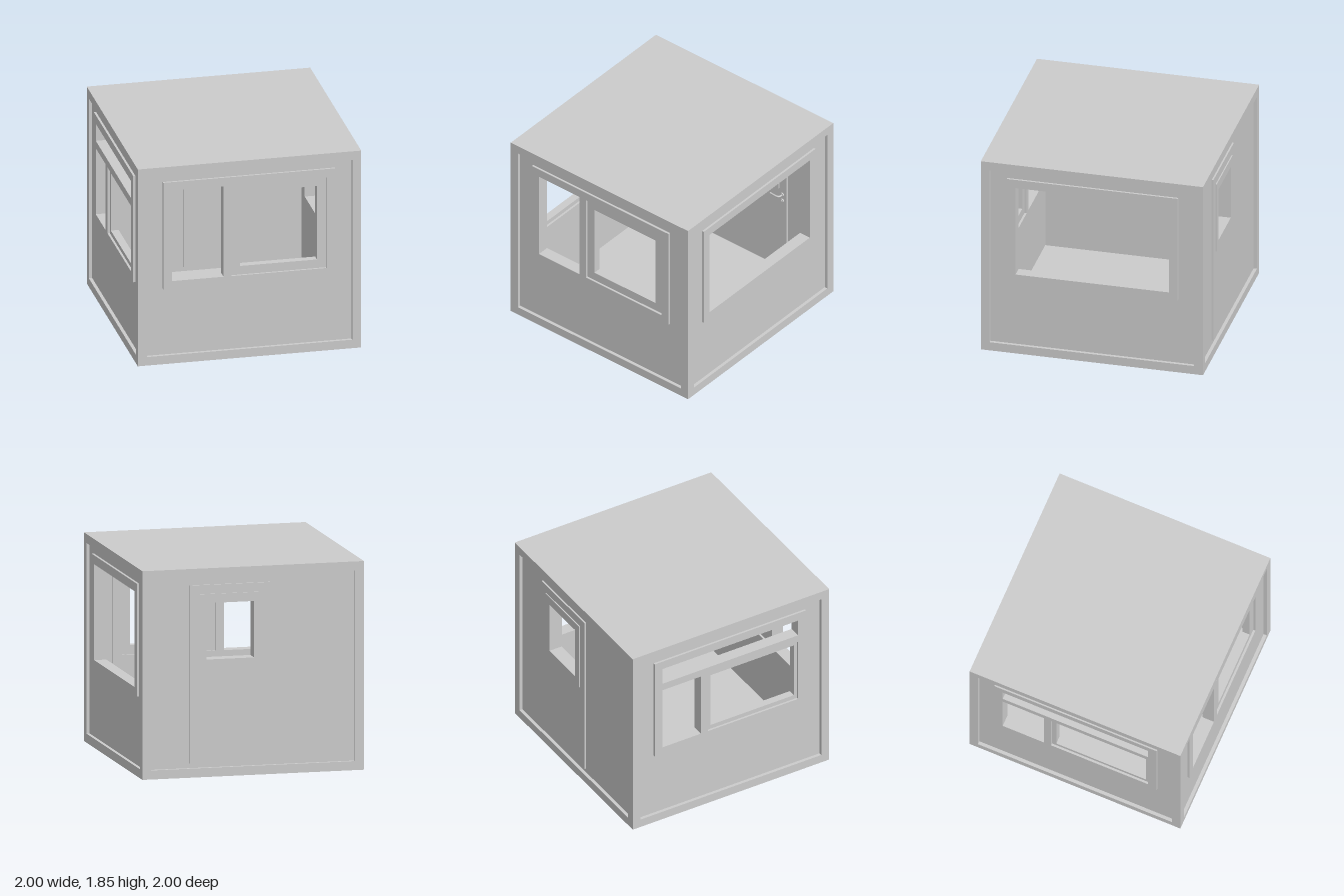
import * as THREE from 'three';

const material = new THREE.MeshStandardMaterial({ color: 0xcccccc });

function add(parent, name, geometry, x = 0, y = 0, z = 0) {
  const mesh = new THREE.Mesh(geometry, material);
  mesh.name = name;
  mesh.position.set(x, y, z);
  parent.add(mesh);
  return mesh;
}

function rect(path, [x0, y0, x1, y1]) {
  path.moveTo(x0, y0);
  path.lineTo(x1, y0);
  path.lineTo(x1, y1);
  path.lineTo(x0, y1);
  path.closePath();
  return path;
}

// Flat plate with rectangular holes, spanning depth z0..z1; rectangles are [x0, y0, x1, y1]
function plate(parent, name, outer, holes, z0, z1) {
  const shape = rect(new THREE.Shape(), outer);
  for (const hole of holes) shape.holes.push(rect(new THREE.Path(), hole));
  const geometry = new THREE.ExtrudeGeometry(shape, { depth: z1 - z0, bevelEnabled: false });
  return add(parent, name, geometry, 0, 0, z0);
}

const PANEL = [-0.92, 0.08, 0.92, 1.77];
const TRIM = [-0.77, 0.70, 0.77, 1.70];
const OPENING = [-0.69, 0.77, 0.69, 1.62];

// Wall panel recessed in the frame; its local +z points outward
function wall(parent, name, angle, hole) {
  const group = new THREE.Group();
  group.name = name;
  group.rotation.y = angle;
  parent.add(group);
  plate(group, name + 'Panel', PANEL, [hole], 0.90, 0.97);
  return group;
}

export function createModel() {
  const model = new THREE.Group();
  model.name = 'guardBooth';

  // Structural frame, roof and floor
  add(model, 'roof', new THREE.BoxGeometry(2, 0.08, 2), 0, 1.81, 0);
  for (const x of [-0.96, 0.96])
    for (const z of [-0.96, 0.96])
      add(model, 'cornerPost', new THREE.BoxGeometry(0.08, 1.69, 0.08), x, 0.925, z);
  const base = plate(model, 'baseFrame', [-1, -1, 1, 1], [[-0.92, -0.92, 0.92, 0.92]], 0, 0.08);
  base.rotation.x = -Math.PI / 2;
  add(model, 'floor', new THREE.BoxGeometry(1.84, 0.025, 1.84), 0, 0.0675, 0);

  // Front wall: open pane beside a framed sash
  const front = wall(model, 'frontWall', 0, OPENING);
  plate(front, 'frontWindowFrame', TRIM,
    [[-0.69, 0.77, -0.23, 1.62], [-0.16, 0.77, 0.69, 1.62]], 0.88, 0.99);
  plate(front, 'frontSash', [-0.16, 0.77, 0.69, 1.62], [[-0.08, 0.85, 0.61, 1.54]], 0.90, 0.97);

  // Left wall (+x): one large picture window
  const left = wall(model, 'leftWall', Math.PI / 2, OPENING);
  plate(left, 'leftWindowFrame', TRIM, [OPENING], 0.88, 0.99);

  // Right wall (-x): transom light above a sash and a narrow pane
  const right = wall(model, 'rightWall', -Math.PI / 2, OPENING);
  plate(right, 'rightWindowFrame', TRIM, [
    [-0.69, 1.46, 0.69, 1.62],
    [-0.69, 0.77, -0.30, 1.39],
    [-0.23, 0.77, 0.69, 1.39],
  ], 0.88, 0.99);
  plate(right, 'rightSash', [-0.23, 0.77, 0.69, 1.39], [[-0.19, 0.81, 0.66, 1.35]], 0.90, 0.97);

  // Back wall: door with a small framed window (local x is mirrored here)
  const doorRect = [-0.57, 0.12, 0.16, 1.70];
  const doorWindow = [-0.49, 0.96, 0.08, 1.62];
  const back = wall(model, 'backWall', Math.PI, doorRect);
  plate(back, 'door', doorRect, [doorWindow], 0.88, 0.985);
  plate(back, 'doorWindowFrame', doorWindow, [[-0.42, 1.04, 0.01, 1.54]], 0.87, 0.995);

  // Inside door handle: rose, neck and lever, with a lock rose below
  const handle = new THREE.Group();
  handle.name = 'doorHandle';
  handle.position.set(0.525, 0.905, -0.88);
  model.add(handle);
  for (const y of [0, -0.065]) {
    const rose = add(handle, 'rose', new THREE.CylinderGeometry(0.02, 0.02, 0.012, 24), 0, y, 0.006);
    rose.rotation.x = Math.PI / 2;
  }
  const lock = add(handle, 'lockCylinder', new THREE.CylinderGeometry(0.009, 0.009, 0.02, 16), 0, -0.065, 0.01);
  lock.rotation.x = Math.PI / 2;
  const leverPath = new THREE.CatmullRomCurve3([
    new THREE.Vector3(0, 0, 0),
    new THREE.Vector3(0, 0, 0.035),
    new THREE.Vector3(-0.015, 0, 0.05),
    new THREE.Vector3(-0.095, 0, 0.05),
  ]);
  add(handle, 'lever', new THREE.TubeGeometry(leverPath, 24, 0.008, 12));
  add(handle, 'leverTip', new THREE.SphereGeometry(0.008, 12, 8), -0.095, 0, 0.05);

  return model;
}
